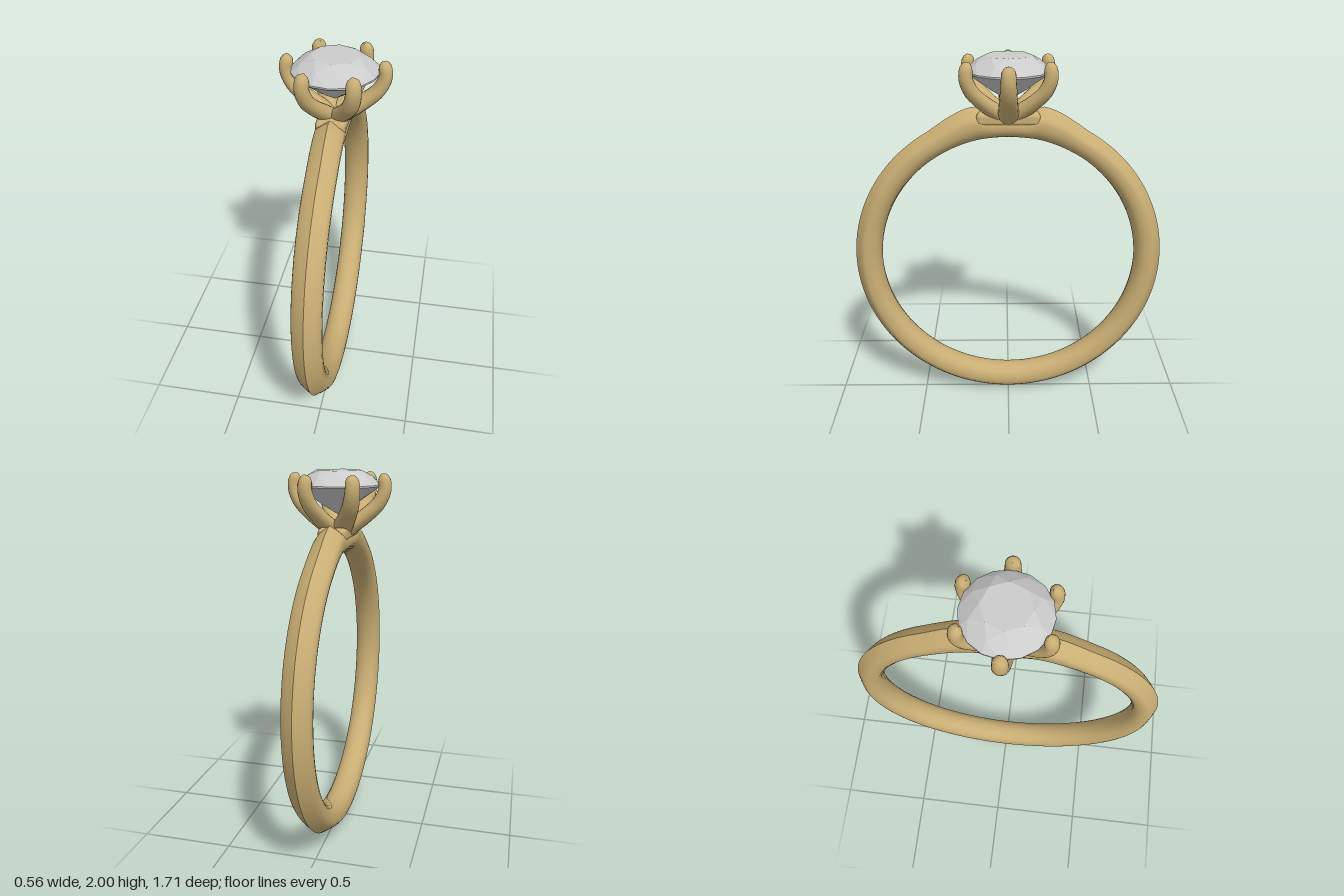
import * as THREE from 'three';
import { toCreasedNormals } from 'three/addons/utils/BufferGeometryUtils.js';
import { ConvexGeometry } from 'three/addons/geometries/ConvexGeometry.js';
import { RoundedBoxGeometry } from 'three/addons/geometries/RoundedBoxGeometry.js';

// Skin a list of closed cross-sections (arrays of [x, y, z])
function loft(rings, closed) {
  const n = rings[0].length, m = rings.length, index = [];
  for (let i = 0; i < (closed ? m : m - 1); i++) {
    for (let j = 0; j < n; j++) {
      const i2 = (i + 1) % m, j2 = (j + 1) % n;
      const a = i * n + j, b = i2 * n + j, c = i * n + j2, d = i2 * n + j2;
      index.push(a, b, c, c, b, d);
    }
  }
  const geo = new THREE.BufferGeometry();
  geo.setAttribute('position', new THREE.Float32BufferAttribute(rings.flat(2), 3));
  geo.setIndex(index);
  geo.computeVertexNormals();
  return geo;
}

// Band: ridged outside, rounded inside, shoulders swelling towards the setting
function shankGeometry() {
  // half profile: [x, share of the way from outside to inside]
  const half = [[0, 0], [0.035, 0.14], [0.06, 0.26], [0.071, 0.34], [0.075, 0.43], [0.075, 0.58],
    [0.07, 0.72], [0.058, 0.84], [0.036, 0.95], [0, 1]];
  const profile = [...half, ...half.slice(1, -1).reverse().map(([x, f]) => [-x, f])];
  const rings = [], steps = 180;
  for (let i = 0; i < steps; i++) {
    const a = (i / steps) * Math.PI * 2;
    const fromTop = Math.min(a, Math.PI * 2 - a);
    const shoulder = 1 - THREE.MathUtils.smoothstep(fromTop, 0.2, 0.55);
    const dip = 1 - THREE.MathUtils.smoothstep(fromTop, 0.1, 0.22);
    const outer = 0.857 + 0.04 * shoulder - 0.05 * dip;
    const inner = 0.7075 + 0.0125 * Math.cos(a);
    rings.push(profile.map(([x, f]) => {
      const r = THREE.MathUtils.lerp(outer, inner, f);
      return [x, 0.86 + r * Math.cos(a), r * Math.sin(a)];
    }));
  }
  return toCreasedNormals(loft(rings, true), 0.7);
}

// Claw: an oval section swept along a curve that rises and hooks over the stone
function prongGeometry() {
  const path = new THREE.CatmullRomCurve3([[0.01, 1.665], [0.07, 1.715], [0.15, 1.775], [0.212, 1.835],
    [0.242, 1.9], [0.24, 1.95], [0.222, 1.982]].map(([r, y]) => new THREE.Vector3(r, y, 0)));
  const rings = [], steps = 36, sides = 16;
  for (let i = 0; i <= steps; i++) {
    const u = i / steps;
    const p = path.getPointAt(u), t = path.getTangentAt(u);
    const tip = u > 0.9 ? Math.sqrt(Math.max(0.003, 1 - ((u - 0.9) / 0.1) ** 2)) : 1;
    const thick = THREE.MathUtils.lerp(0.045, 0.032, u) * tip;
    const wide = THREE.MathUtils.lerp(0.06, 0.034, u) * tip;
    const ring = [];
    for (let j = 0; j < sides; j++) {
      const q = (j / sides) * Math.PI * 2;
      const c = Math.cos(q) * thick;
      ring.push([p.x + t.y * c, p.y - t.x * c, Math.sin(q) * wide]);
    }
    rings.push(ring);
  }
  return loft(rings, false);
}

// Round brilliant cut: hull of the table, star, girdle, pavilion and culet points
function gemGeometry() {
  const points = [new THREE.Vector3(0, 1.77, 0)];
  const addRing = (count, r, y, turn) => {
    for (let k = 0; k < count; k++) {
      const a = ((k + turn) / count) * Math.PI * 2;
      points.push(new THREE.Vector3(r * Math.sin(a), y, r * Math.cos(a)));
    }
  };
  addRing(8, 0.12, 2.0, 0);
  addRing(8, 0.175, 1.969, 0.5);
  addRing(16, 0.218, 1.928, 0);
  addRing(16, 0.218, 1.92, 0);
  addRing(8, 0.09, 1.826, 0.5);
  return new ConvexGeometry(points);
}

export function createModel() {
  const ring = new THREE.Group();
  ring.name = 'ring';
  const gold = new THREE.MeshStandardMaterial({ color: 0xc9ae74 });
  const stone = new THREE.MeshStandardMaterial({ color: 0xcccccc, flatShading: true });
  const add = (name, geo, mat) => {
    const mesh = new THREE.Mesh(geo, mat);
    mesh.name = name;
    ring.add(mesh);
    return mesh;
  };

  add('shank', shankGeometry(), gold);

  // Seat under the claws
  add('settingBase', new RoundedBoxGeometry(0.152, 0.07, 0.33, 4, 0.025), gold).position.y = 1.683;

  // Six claws around the stone
  const prong = prongGeometry();
  for (let k = 0; k < 6; k++) add('prong' + (k + 1), prong, gold).rotation.y = (k * Math.PI) / 3;

  add('gemstone', gemGeometry(), stone);
  return ring;
}
